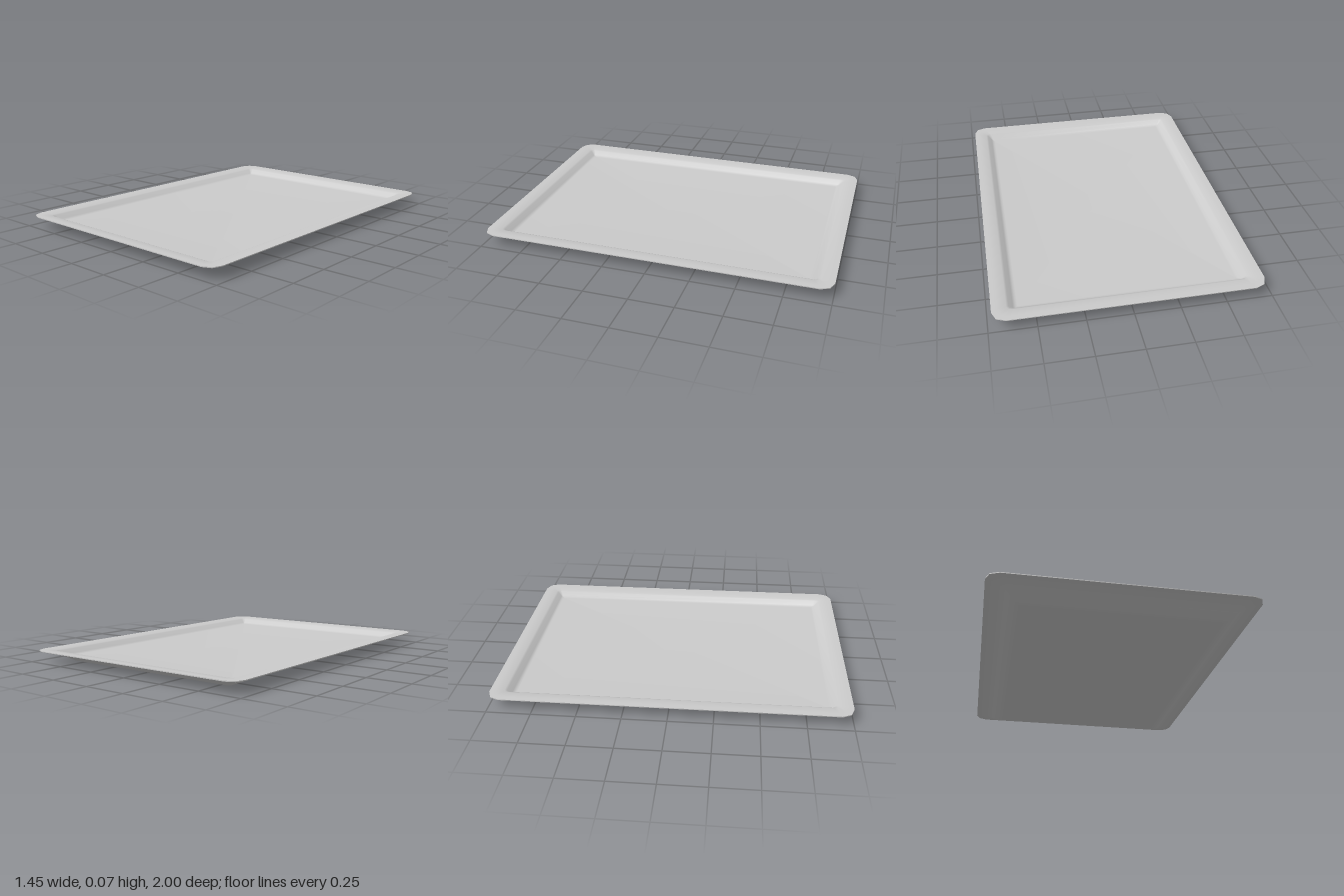
import * as THREE from 'three';
import { toCreasedNormals } from 'three/addons/utils/BufferGeometryUtils.js';

const HALF_X = 0.725, HALF_Z = 1, CORNER = 0.07, STEPS = 2;

// Rounded-rectangle loop, set in from the rim by `inset`, at height y
function ring(inset, y) {
  const r = Math.max(CORNER - inset * 0.55, 0.008);
  const cx = HALF_X - inset - r, cz = HALF_Z - inset - r;
  const points = [];
  for (let q = 0; q < 4; q++) {
    const sx = q === 0 || q === 3 ? 1 : -1, sz = q < 2 ? 1 : -1;
    for (let s = 0; s <= STEPS; s++) {
      const a = (q + s / STEPS) * Math.PI / 2;
      points.push([sx * cx + r * Math.cos(a), y, sz * cz + r * Math.sin(a)]);
    }
  }
  return points;
}

// Skin the loops in order and close both ends
function loft(rings) {
  const n = rings[0].length, last = (rings.length - 1) * n;
  const points = rings.flat();
  const bottom = points.push([0, rings[0][0][1], 0]) - 1;
  const top = points.push([0, rings.at(-1)[0][1], 0]) - 1;
  const index = [];
  for (let k = 0; k < n; k++) {
    const k1 = (k + 1) % n;
    index.push(bottom, k, k1, top, last + k1, last + k);
    for (let a = 0; a < last; a += n) {
      const b = a + n;
      index.push(a + k, b + k, a + k1, b + k, b + k1, a + k1);
    }
  }
  const geometry = new THREE.BufferGeometry();
  geometry.setAttribute('position', new THREE.Float32BufferAttribute(points.flat(), 3));
  geometry.setIndex(index);
  return toCreasedNormals(geometry, 1.0);
}

export function createModel() {
  const group = new THREE.Group();
  group.name = 'servingTray';

  // [inset from rim, height]: underside, flared wall, rim edge, lip, sunken floor
  const profile = [
    [0.19, 0], [0.177, 0], [0.158, 0.006], [0.115, 0.033], [0.082, 0.053], [0.045, 0.061],
    [0, 0.066], [0, 0.071], [0.03, 0.071], [0.078, 0.067], [0.09, 0.062],
    [0.112, 0.04], [0.124, 0.033], [0.135, 0.032],
  ];
  const tray = new THREE.Mesh(
    loft(profile.map(([inset, y]) => ring(inset, y))),
    new THREE.MeshStandardMaterial({ color: 0xcccccc }),
  );
  tray.name = 'tray';
  group.add(tray);
  return group;
}
